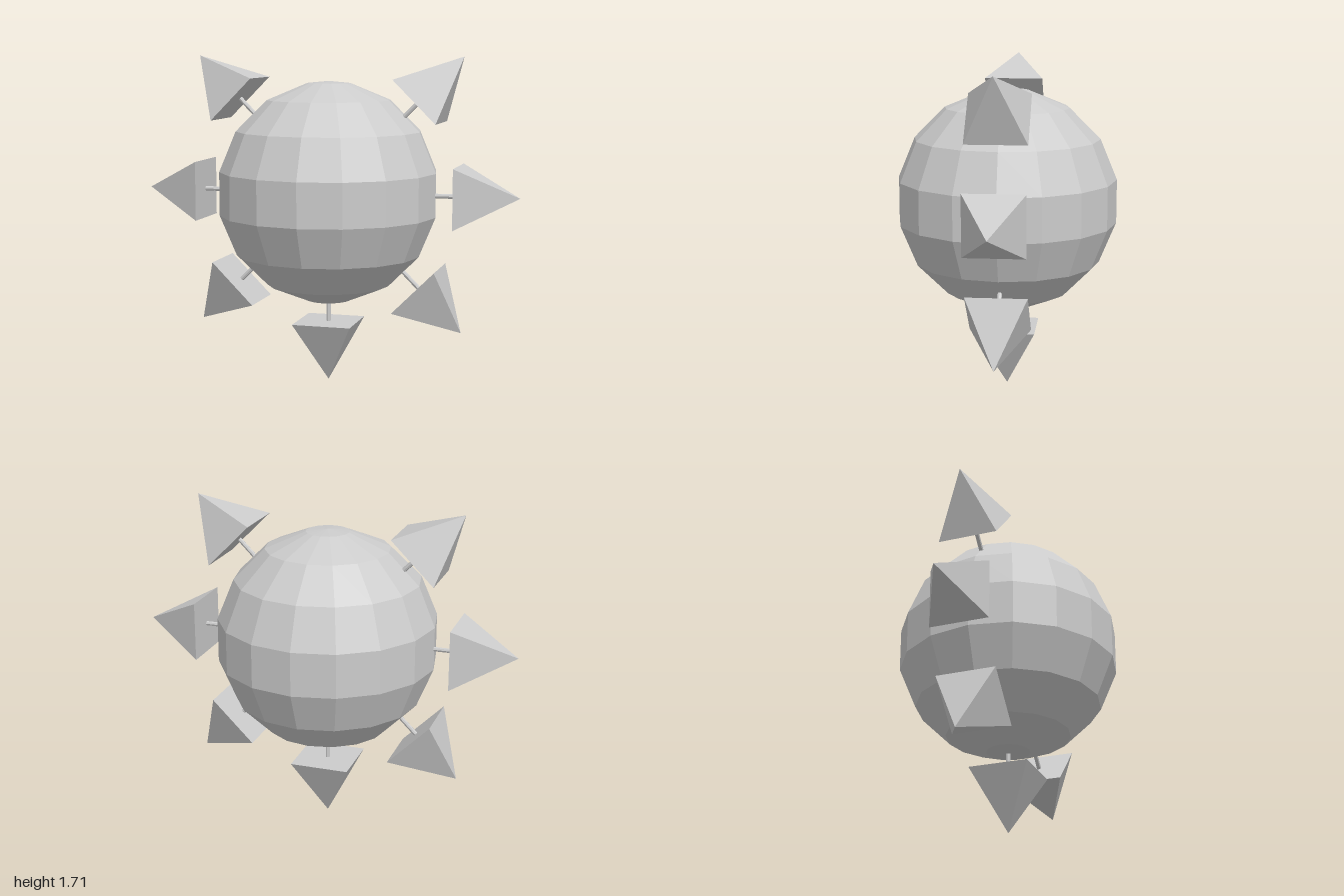
import * as THREE from 'three';

const CENTER_Y = 1.007;
const RADIUS = 0.582;

export function createModel() {
  const model = new THREE.Group();
  model.name = 'spikedBall';
  const material = new THREE.MeshStandardMaterial({ color: 0xcccccc, flatShading: true });

  function addMesh(parent, geometry, name, y = 0) {
    const mesh = new THREE.Mesh(geometry, material);
    mesh.name = name;
    mesh.position.y = y;
    parent.add(mesh);
    return mesh;
  }

  // Faceted ball: eight rings, half a step off the equator, with shallow caps
  const profile = [new THREE.Vector2(0, -RADIUS)];
  for (let i = 0; i < 8; i++) {
    const a = THREE.MathUtils.degToRad(-78.75 + 22.5 * i);
    profile.push(new THREE.Vector2(RADIUS * Math.cos(a), RADIUS * Math.sin(a)));
  }
  profile.push(new THREE.Vector2(0, RADIUS));
  addMesh(model, new THREE.LatheGeometry(profile, 16), 'ball', CENTER_Y);

  // Square pyramid and thin stem, both pointing outward along +y
  const baseY = 0.686, tipY = 1.004, halfWidth = 0.156;
  const pyramid = new THREE.ConeGeometry(halfWidth * Math.SQRT2, tipY - baseY, 4);
  pyramid.rotateY(Math.PI / 4);
  const stem = new THREE.CylinderGeometry(0.012, 0.012, 0.19, 8);

  // Seven spikes around the ball in the front plane, none at the top
  for (let i = 1; i < 8; i++) {
    const spike = new THREE.Group();
    spike.name = 'spike' + i;
    spike.position.y = CENTER_Y;
    spike.rotation.z = i * Math.PI / 4;
    addMesh(spike, stem, 'stem', 0.6);
    addMesh(spike, pyramid, 'spikeTip', (baseY + tipY) / 2);
    model.add(spike);
  }

  return model;
}
